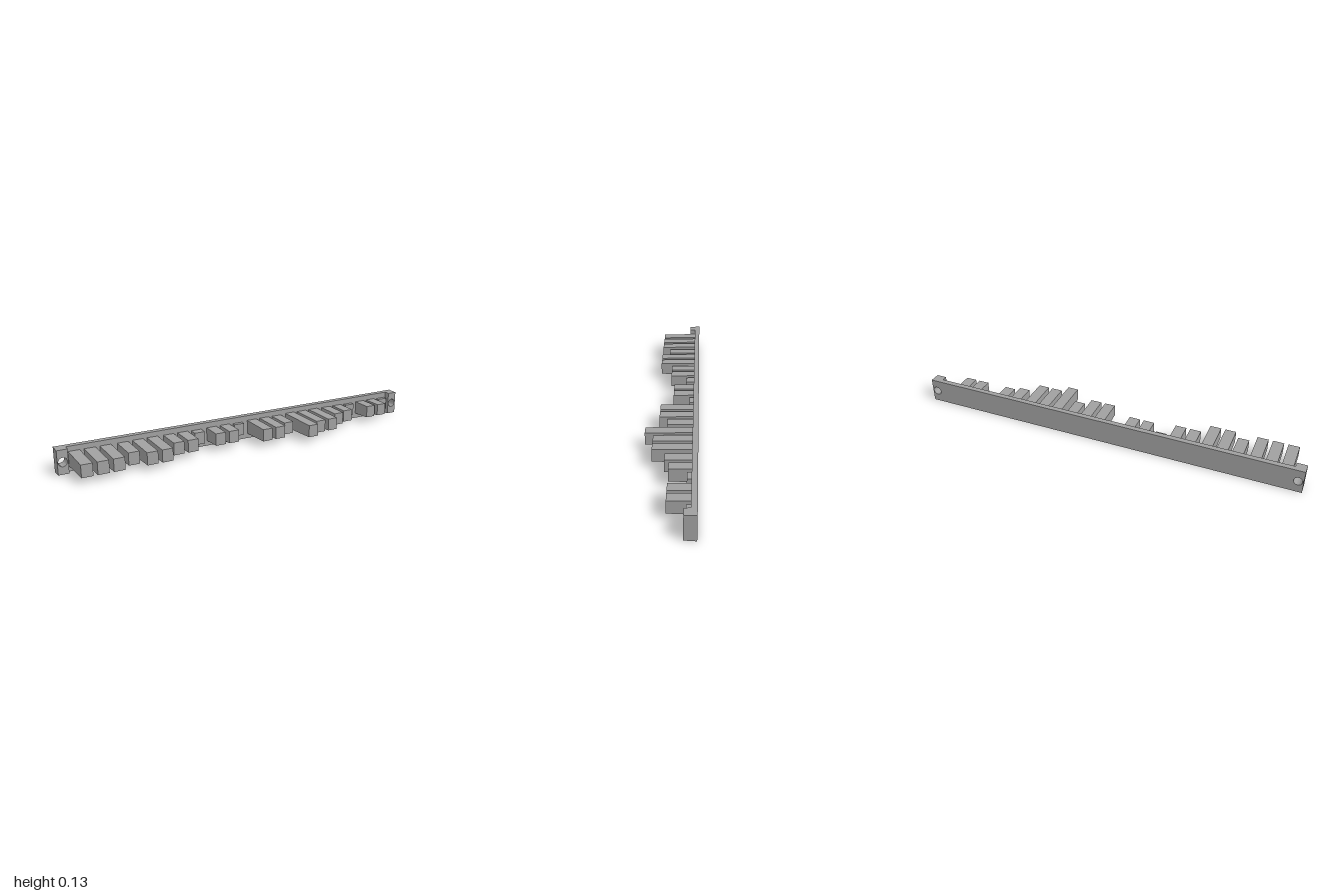
import * as THREE from 'three';
import { toCreasedNormals } from 'three/addons/utils/BufferGeometryUtils.js';

const BACK = -0.127, FRONT = -0.1, CAP_FRONT = -0.071, TIP = 0.128;
const STEP = (TIP - FRONT) / 11; // tooth lengths are whole steps
const MID = 0.063;               // mid height of the bar
const HOLE_X = 0.974, HOLE_R = 0.022;

// Rectangular slab with round through holes; top and bottom lean inwards to the front
function slab(x0, x1, z0, z1, holes) {
  const shape = new THREE.Shape([
    new THREE.Vector2(x0, -MID), new THREE.Vector2(x1, -MID),
    new THREE.Vector2(x1, MID), new THREE.Vector2(x0, MID),
  ]);
  for (const x of holes) shape.holes.push(new THREE.Path().absarc(x, 0, HOLE_R, 0, Math.PI * 2, true));
  const geo = new THREE.ExtrudeGeometry(shape, { depth: z1 - z0, bevelEnabled: false, curveSegments: 24 });
  geo.translate(0, 0, z0);
  const p = geo.attributes.position;
  for (let i = 0; i < p.count; i++) {
    const y = p.getY(i);
    if (Math.abs(y) > 0.05) p.setY(i, Math.sign(y) * (MID - 0.05 * (p.getZ(i) - BACK)));
  }
  geo.translate(0, MID, 0);
  return toCreasedNormals(geo, 0.6);
}

// Tooth with a fixed tip height, growing taller towards its root
function tooth(steps) {
  const length = steps * STEP;
  const geo = new THREE.BoxGeometry(0.055, 1, length);
  geo.translate(0, 0, FRONT + length / 2);
  const p = geo.attributes.position;
  for (let i = 0; i < p.count; i++) {
    const half = 0.0313 + 0.028 * (FRONT + length - p.getZ(i));
    p.setY(i, MID + Math.sign(p.getY(i)) * half);
  }
  geo.computeVertexNormals();
  return geo;
}

export function createModel() {
  const model = new THREE.Group();
  model.name = 'toothedBar';
  const grey = new THREE.MeshStandardMaterial({ color: 0xa0a0a0 });
  grey.name = 'plain grey';
  const add = (name, geo, x = 0) => {
    const mesh = new THREE.Mesh(geo, grey);
    mesh.name = name;
    mesh.position.x = x;
    model.add(mesh);
  };

  // Back bar and raised ends with screw holes
  add('backBar', slab(-1, 1, BACK, FRONT, [-HOLE_X, HOLE_X]));
  add('rightEndBlock', slab(-1, -0.948, FRONT, CAP_FRONT, [-HOLE_X]));
  add('leftEndBlock', slab(0.948, 1, FRONT, CAP_FRONT, [HOLE_X]));

  // Eight groups of three teeth with varied lengths
  const lengths = [9, 9, 9, 7, 9, 9, 6, 6, 2, 5, 5, 1, 8, 8, 6, 11, 9, 9, 6, 5, 1, 5, 5, 1];
  lengths.forEach((steps, i) => {
    const group = Math.floor(i / 3), place = i % 3;
    add(`tooth${i + 1}`, tooth(steps), (group - 3.5) * 0.2386 + (place - 1) * 0.076);
  });
  return model;
}
